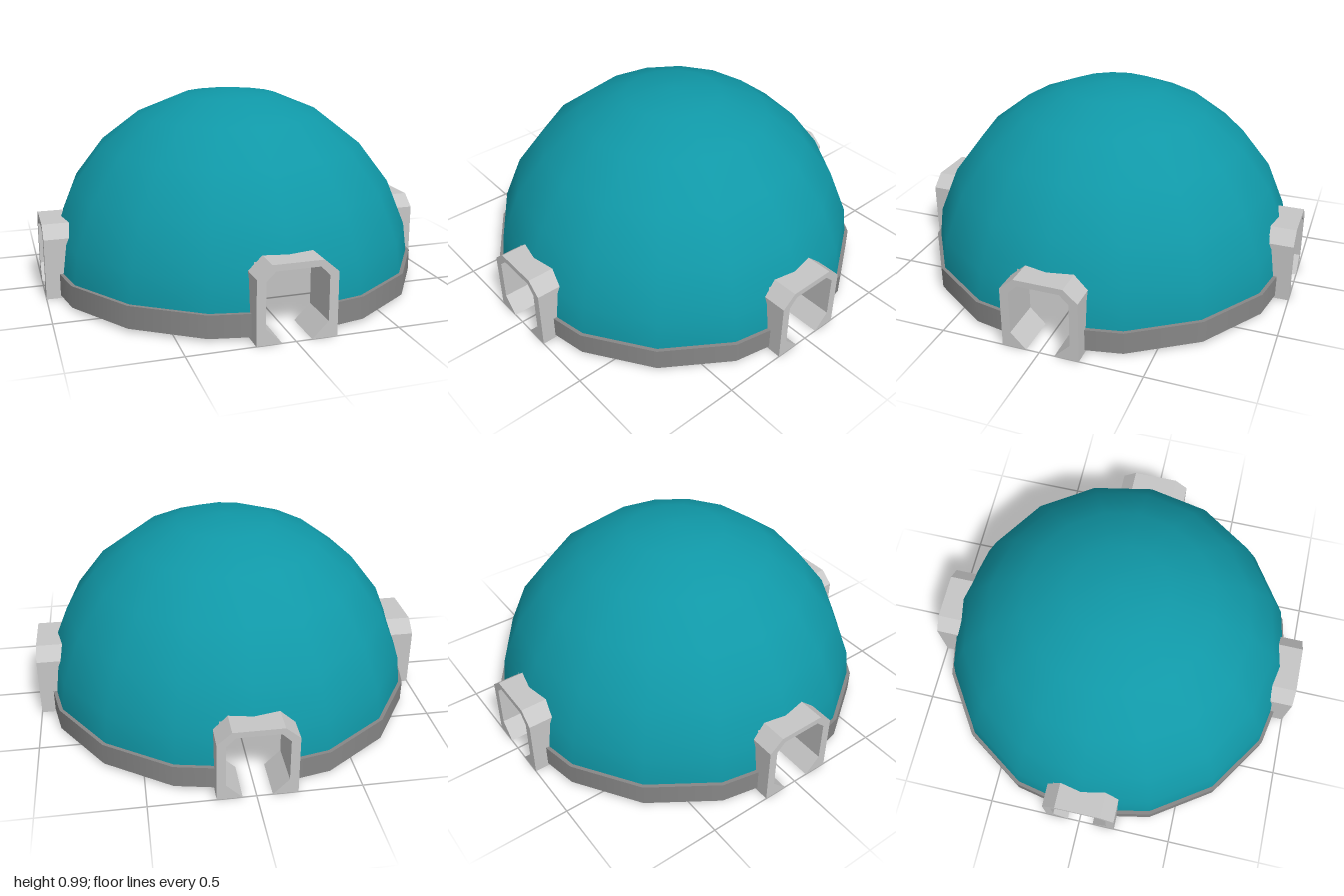
import * as THREE from 'three';

const R = 0.964, CY = 0.022;            // dome radius and centre height
const STEP = Math.PI / 8;               // sixteen sides
const SLOPE = Math.tan(STEP / 2);

// Points of one quarter of the sixteen-sided outline, stopping w short of the doorways
function quarter(r, w) {
  const pts = [[w, r - w * SLOPE]];
  for (let i = 1; i < 4; i++) pts.push([r * Math.sin(i * STEP), r * Math.cos(i * STEP)]);
  pts.push([r - w * SLOPE, w]);
  return pts;
}

// Quarter wall swept through a profile of [radius, y]; normalAt shades it smoothly
function quarterWall(profile, w, normalAt) {
  const pos = [], nor = [], idx = [];
  profile.forEach(([r, y], j) => quarter(r, w).forEach(([x, z], i) => {
    pos.push(x, y, z);
    nor.push(...normalAt(new THREE.Vector3(x, y, z)).normalize().toArray());
    if (j < profile.length - 1 && i < 4) {
      const a = j * 5 + i;
      idx.push(a, a + 1, a + 6, a, a + 6, a + 5);
    }
  }));
  const g = new THREE.BufferGeometry();
  g.setAttribute('position', new THREE.Float32BufferAttribute(pos, 3));
  g.setAttribute('normal', new THREE.Float32BufferAttribute(nor, 3));
  g.setIndex(idx);
  return g;
}

const domeNormal = p => p.clone().setY(p.y - CY);

// Upper dome, a full cap above the doorways
function capGeometry(bottom) {
  const pts = [new THREE.Vector2(...bottom)];
  for (let i = 4; i >= 0; i--) {
    const a = i * Math.PI / 12;
    pts.push(new THREE.Vector2(R * Math.sin(a), CY + R * Math.cos(a)));
  }
  const g = new THREE.LatheGeometry(pts, 16);
  const p = g.attributes.position, v = new THREE.Vector3();
  for (let i = 0; i < p.count; i++) {
    const n = domeNormal(v.fromBufferAttribute(p, i)).normalize();
    g.attributes.normal.setXYZ(i, n.x, n.y, n.z);
  }
  return g;
}

// Doorway frame: chamfered arch with feet turned inward
function doorGeometry() {
  const half = [[0.07, 0], [0.147, 0.077], [0.147, 0.292], [0.103, 0.335]];
  const outer = [[0.12, 0.365], [0.19, 0.305], [0.19, 0]];
  const mirror = list => list.map(([x, y]) => [-x, y]).reverse();
  const outline = [...half, ...mirror(half), ...mirror(outer), ...outer];
  const shape = new THREE.Shape(outline.map(([x, y]) => new THREE.Vector2(x, y)));
  const g = new THREE.ExtrudeGeometry(shape, { depth: 0.215, bevelEnabled: false });
  return g.translate(0.005, 0, 0.785);
}

export function createModel() {
  const group = new THREE.Group();
  const teal = new THREE.MeshStandardMaterial({ color: 0x1098a7, side: THREE.DoubleSide });
  teal.name = 'teal shell';
  const grey = new THREE.MeshStandardMaterial({ color: 0x878787 });
  grey.name = 'dark grey';
  const light = new THREE.MeshStandardMaterial({ color: 0xc6c6c6 });
  light.name = 'light grey';

  const add = (name, geo, mat, turn = 0) => {
    const m = new THREE.Mesh(geo, mat);
    m.name = name;
    m.rotation.y = turn * Math.PI / 2;
    group.add(m);
  };

  // Dome rows: base, the 75 degree ring, and the line above the doors
  const a = Math.PI * 75 / 180, b = Math.PI / 3, top = 0.34;
  const mid = [R * Math.sin(a), CY + R * Math.cos(a)];
  const high = [R * Math.sin(b), CY + R * Math.cos(b)];
  const k = (top - mid[1]) / (high[1] - mid[1]);
  const lip = [mid[0] + (high[0] - mid[0]) * k, top];
  add('domeCap', capGeometry(lip), teal);
  const wall = quarterWall([[R, CY], mid, lip], 0.155, domeNormal);

  // Base ring faces
  const ro = 0.969, ri = 0.93, y0 = 0.015, y1 = 0.125;
  const out = p => p.clone().setY(0), up = s => () => new THREE.Vector3(0, s, 0);
  const ring = [
    ['ringOuter', [[ro, y0], [ro, y1]], out],
    ['ringTop', [[ro, y1], [ri, y1]], up(1)],
    ['ringInner', [[ri, y1], [ri, y0]], p => out(p).negate()],
    ['ringBottom', [[ri, y0], [ro, y0]], up(-1)],
  ].map(([name, profile, n]) => [name, quarterWall(profile, 0.17, n)]);

  const door = doorGeometry();
  for (let i = 0; i < 4; i++) {
    add('domeWall', wall, teal, i);
    ring.forEach(([name, geo]) => add(name, geo, grey, i));
    add('doorFrame', door, light, i);
  }
  return group;
}
